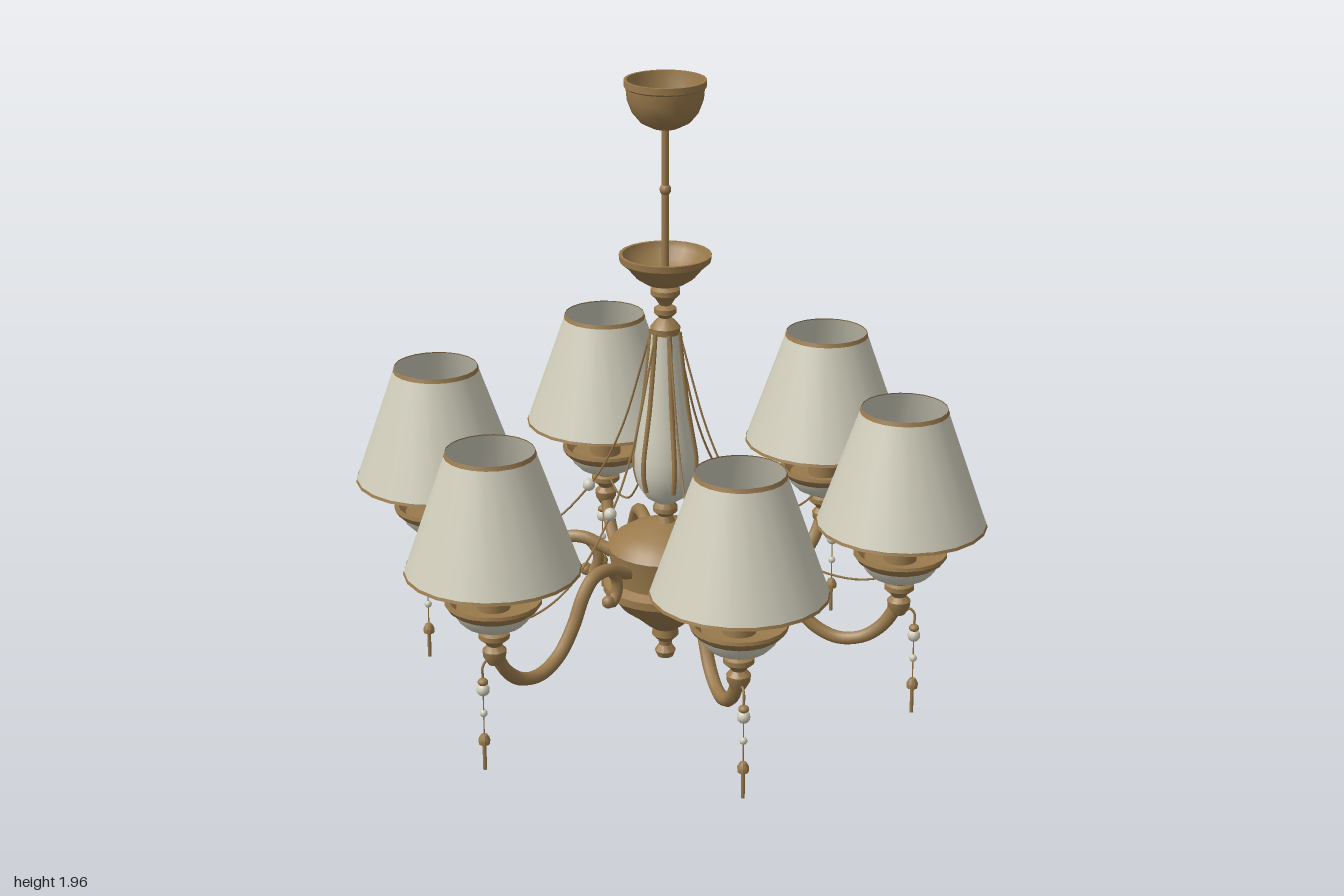
import * as THREE from 'three';
import { toCreasedNormals } from 'three/addons/utils/BufferGeometryUtils.js';

export function createModel() {
  const model = new THREE.Group();
  model.name = 'chandelier';
  const paint = (name, color) => {
    const m = new THREE.MeshStandardMaterial({ color, side: THREE.DoubleSide });
    m.name = name;
    return m;
  };
  const bronze = paint('antique bronze', 0x9a7a4c);
  const cream = paint('cream', 0xcfccba);

  const add = (parent, name, geometry, material, x = 0, y = 0, z = 0) => {
    const mesh = new THREE.Mesh(geometry, material);
    mesh.name = name;
    mesh.position.set(x, y, z);
    parent.add(mesh);
    return mesh;
  };
  // Turned part from [radius, height] pairs
  const lathe = (profile, segments = 24) => toCreasedNormals(
    new THREE.LatheGeometry(profile.map(([r, y]) => new THREE.Vector2(r, y)), segments), 0.6);
  const curve = (pts) => new THREE.CatmullRomCurve3(pts.map(([x, y]) => new THREE.Vector3(x, y, 0)));
  const tube = (pts, radius, steps = 32, sides = 8) =>
    new THREE.TubeGeometry(curve(pts), steps, radius, sides);

  // Central column, bottom to top
  add(model, 'hub', lathe([
    [0, 0.095], [0.025, 0.1], [0.033, 0.12], [0.02, 0.14], [0.022, 0.155], [0.042, 0.175],
    [0.04, 0.2], [0.06, 0.215], [0.1, 0.25], [0.14, 0.28], [0.165, 0.315], [0.195, 0.335],
    [0.195, 0.36], [0.165, 0.375], [0.17, 0.42], [0.18, 0.48], [0.16, 0.505], [0.12, 0.53],
    [0.07, 0.55], [0.03, 0.56], [0.022, 0.58], [0.038, 0.595], [0.038, 0.61], [0.025, 0.63],
  ], 28), bronze);
  const vaseProfile = [
    [0.03, 0.625], [0.06, 0.645], [0.083, 0.68], [0.095, 0.73], [0.095, 0.78],
    [0.082, 0.86], [0.068, 0.94], [0.057, 1.03], [0.048, 1.11], [0.042, 1.18],
  ];
  add(model, 'vase', lathe(vaseProfile), cream);
  add(model, 'collar', lathe([
    [0.044, 1.175], [0.046, 1.195], [0.03, 1.215], [0.018, 1.225], [0.034, 1.24], [0.034, 1.255],
    [0.018, 1.265], [0.03, 1.285], [0.045, 1.3], [0.045, 1.315], [0.025, 1.33],
  ]), bronze);
  add(model, 'upperDish', lathe([
    [0.025, 1.325], [0.06, 1.335], [0.09, 1.355], [0.115, 1.385], [0.138, 1.405], [0.14, 1.425],
    [0.13, 1.425], [0.125, 1.405], [0.1, 1.38], [0.07, 1.355], [0, 1.345],
  ]), bronze);
  add(model, 'rod', new THREE.CylinderGeometry(0.011, 0.011, 0.5, 12), bronze, 0, 1.59);
  add(model, 'rodKnob', new THREE.SphereGeometry(0.018, 12, 8), bronze, 0, 1.625);
  add(model, 'ceilingCup', lathe([
    [0, 1.81], [0.04, 1.815], [0.075, 1.833], [0.1, 1.863], [0.114, 1.9], [0.117, 1.935],
    [0.123, 1.94], [0.123, 1.96], [0.115, 1.96], [0.108, 1.91], [0.09, 1.865], [0.06, 1.84], [0, 1.828],
  ]), bronze);

  // Shared geometry for one branch, which runs along local +x
  const R = 0.74;
  const armGeo = tube([
    [0.15, 0.43], [0.2, 0.45], [0.26, 0.475], [0.32, 0.47], [0.365, 0.425], [0.41, 0.34],
    [0.47, 0.265], [0.55, 0.228], [0.63, 0.24], [0.69, 0.285], [0.725, 0.34], [R, 0.39],
  ], 0.021, 48);
  const scrollGeo = tube([
    [0.3, 0.478], [0.25, 0.47], [0.22, 0.43], [0.222, 0.385], [0.245, 0.36], [0.262, 0.375],
  ], 0.018, 24);
  const ribGeo = tube(vaseProfile.slice(2).map(([r, y]) => [r + 0.002, y]), 0.008, 24, 6);
  const swagGeo = tube([
    [0.045, 1.18], [0.08, 1.05], [0.13, 0.88], [0.19, 0.74], [0.25, 0.645],
    [0.34, 0.54], [0.44, 0.465], [0.55, 0.432], [0.64, 0.432], [0.71, 0.455],
  ], 0.0035, 40, 5);
  const stemGeo = lathe([
    [0, 0.325], [0.02, 0.33], [0.034, 0.355], [0.036, 0.375], [0.022, 0.39], [0.028, 0.4],
    [0.046, 0.415], [0.046, 0.43], [0.035, 0.437], [0.06, 0.45],
  ], 20);
  const bowlGeo = lathe([[0.06, 0.449], [0.088, 0.463], [0.108, 0.483], [0.118, 0.503]], 20);
  const panGeo = lathe([
    [0.118, 0.503], [0.134, 0.515], [0.144, 0.53], [0.142, 0.54], [0.13, 0.538], [0.11, 0.515], [0, 0.508],
  ], 20);
  const shadeGeo = lathe([[0.257, 0.637], [0.13, 1.0]], 22);
  const trimGeo = (r1, y1, r2, y2) => lathe([[r1, y1], [r2, y2]], 22);
  const lowTrim = trimGeo(0.2605, 0.63, 0.2575, 0.639);
  const topTrim = trimGeo(0.1345, 0.99, 0.1305, 1.003);
  const candleGeo = new THREE.CylinderGeometry(0.05, 0.05, 0.22, 18);
  const bulbGeo = new THREE.SphereGeometry(0.05, 16, 12);
  const ball = new THREE.SphereGeometry(0.02, 12, 8);
  const dropGeo = lathe([[0.006, 0.08], [0.017, 0.085], [0.018, 0.1], [0.01, 0.115], [0, 0.12]], 10);
  const hookGeo = tube([[0.755, 0.335], [0.775, 0.35], [0.79, 0.335], [0.79, 0.3]], 0.004, 12, 5);

  // Six branches, at slightly uneven angles
  for (const degrees of [-27.7, 30.9, 90.3, 152.3, 211.8, 272.3]) {
    const branch = new THREE.Group();
    branch.name = 'branch';
    branch.rotation.y = -THREE.MathUtils.degToRad(degrees);
    model.add(branch);

    add(branch, 'arm', armGeo, bronze);
    add(branch, 'armScroll', scrollGeo, bronze);
    add(branch, 'armScrollTip', ball, bronze, 0.258, 0.368);
    add(branch, 'armBoss', ball, bronze, 0.18, 0.44);
    add(branch, 'vaseRib', ribGeo, bronze);
    add(branch, 'swagChain', swagGeo, bronze);
    add(branch, 'swagBead', ball, cream, 0.246, 0.655);

    // Lamp
    add(branch, 'lampStem', stemGeo, bronze, R);
    add(branch, 'lampBowl', bowlGeo, cream, R);
    add(branch, 'lampPan', panGeo, bronze, R);
    add(branch, 'candle', candleGeo, bronze, R, 0.62);
    add(branch, 'bulb', bulbGeo, cream, R, 0.77);
    add(branch, 'shade', shadeGeo, cream, R);
    add(branch, 'shadeLowerTrim', lowTrim, bronze, R);
    add(branch, 'shadeUpperTrim', topTrim, bronze, R);

    // Hanging drop
    const D = 0.79;
    add(branch, 'dropHook', hookGeo, bronze);
    add(branch, 'dropCap', ball, bronze, D, 0.287).scale.set(0.8, 0.6, 0.8);
    add(branch, 'dropBead', ball, cream, D, 0.262);
    add(branch, 'dropSmallBead', ball, cream, D, 0.185).scale.setScalar(0.6);
    add(branch, 'dropWire', new THREE.CylinderGeometry(0.002, 0.002, 0.16, 5), bronze, D, 0.19);
    add(branch, 'dropBell', dropGeo, bronze, D);
    add(branch, 'dropPin', new THREE.CylinderGeometry(0.006, 0.006, 0.09, 6), bronze, D, 0.045);
  }
  return model;
}
